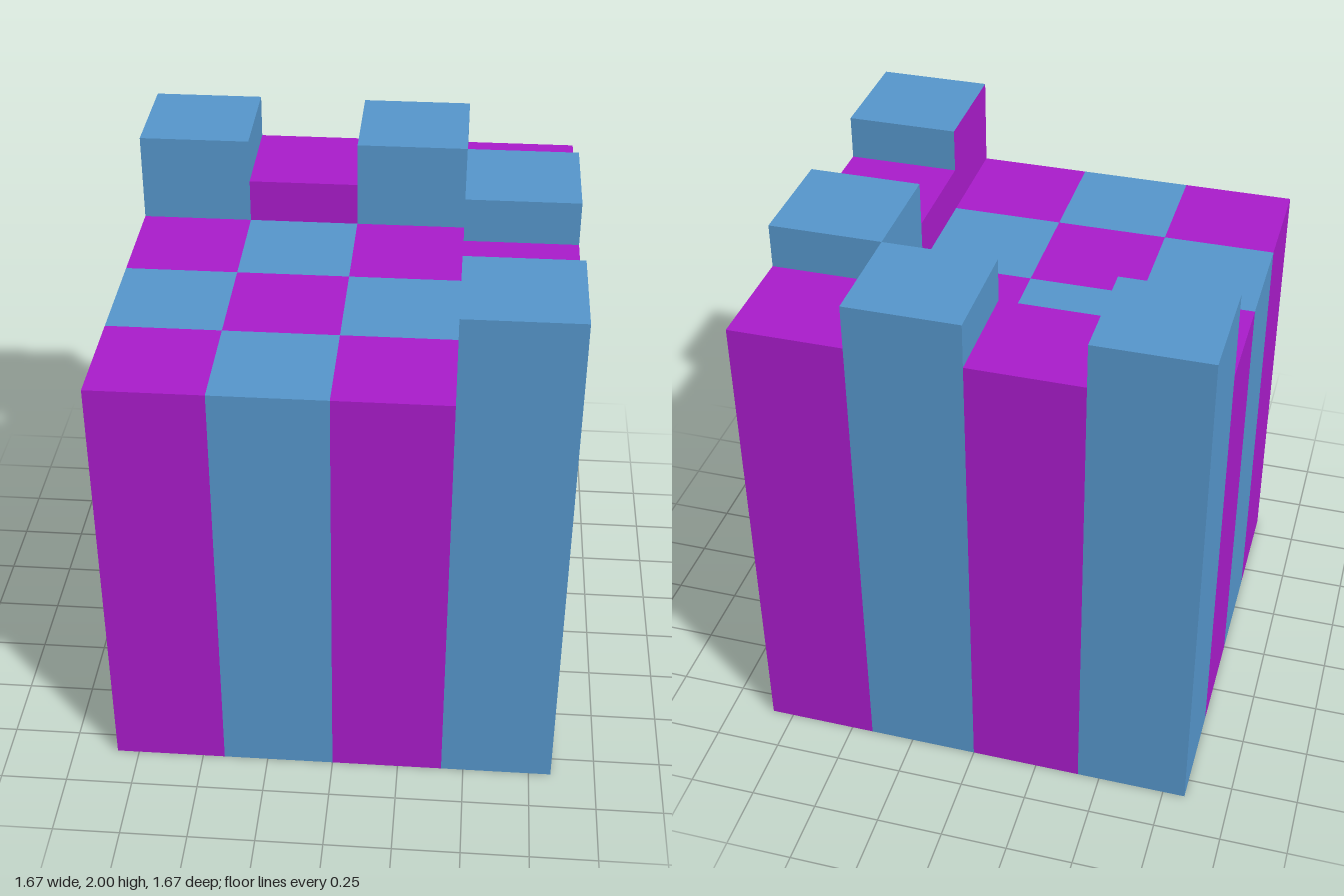
import * as THREE from 'three';

const CELL = 5 / 12; // four cells across
const LOW = 5 / 3, MID = 11 / 6, HIGH = 2;

export function createModel() {
  const model = new THREE.Group();
  model.name = 'checkeredBlock';
  const blue = new THREE.MeshStandardMaterial({ color: 0x5595ca });
  const purple = new THREE.MeshStandardMaterial({ color: 0xa81bc9 });

  // Checkered columns, with a crenellated rim along the back and +x edges
  for (let row = 0; row < 4; row++) {
    for (let col = 0; col < 4; col++) {
      const isBlue = (row + col) % 2 === 0;
      const onRim = row === 0 || col === 3;
      const height = !onRim ? LOW : isBlue ? HIGH : MID;
      const body = isBlue ? blue : purple;
      // Front corner tower has a purple inner side; every underside is purple
      const innerSide = row === 3 && col === 3 ? purple : body;
      const column = new THREE.Mesh(
        new THREE.BoxGeometry(CELL, height, CELL),
        [body, innerSide, body, purple, body, body]
      );
      column.position.set((col - 1.5) * CELL, height / 2, (row - 1.5) * CELL);
      column.name = !onRim ? 'floorColumn' : isBlue ? 'merlonColumn' : 'gapColumn';
      model.add(column);
    }
  }
  return model;
}
